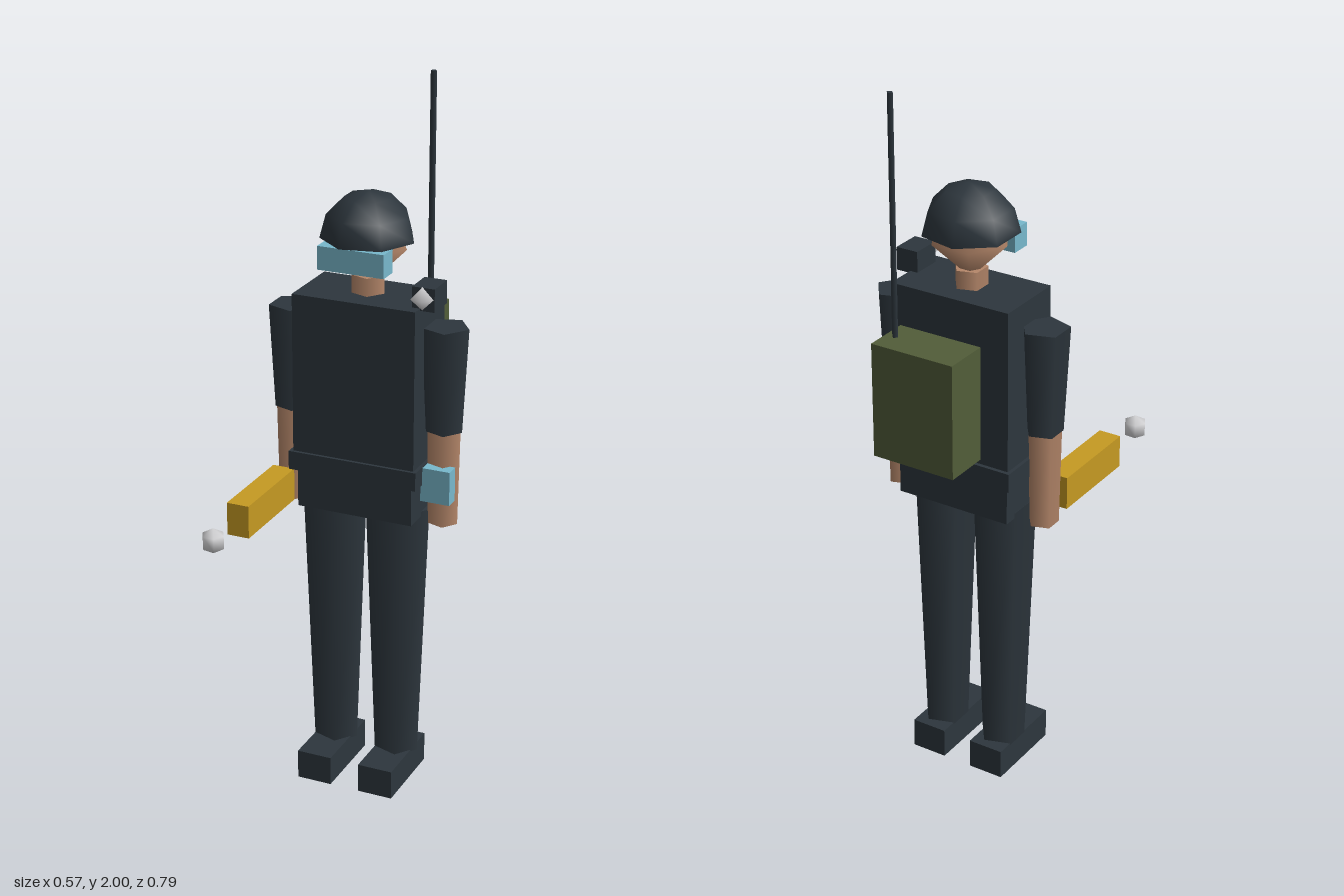
import * as THREE from 'three';

export function createModel() {
  const model = new THREE.Group();
  const mat = (name, color, side = THREE.FrontSide) => {
    const m = new THREE.MeshStandardMaterial({ color, side });
    m.name = name;
    return m;
  };
  const uniform = mat('dark uniform', 0x2d363d, THREE.DoubleSide);
  const skin = mat('skin', 0xb5876a);
  const glass = mat('pale blue', 0x78b8cc);
  const mustard = mat('mustard', 0xc69a22);
  const olive = mat('olive', 0x525d39);
  const silver = mat('light grey', 0xd2d2d4);

  const add = (name, geometry, material, x, y, z) => {
    const mesh = new THREE.Mesh(geometry, material);
    mesh.name = name;
    mesh.position.set(x, y, z);
    model.add(mesh);
    return mesh;
  };
  // Box given by its limits on each axis
  const box = (name, material, [x0, x1], [y0, y1], [z0, z1]) =>
    add(name, new THREE.BoxGeometry(x1 - x0, y1 - y0, z1 - z0), material,
      (x0 + x1) / 2, (y0 + y1) / 2, (z0 + z1) / 2);
  // Tapered upright prism with one corner pointing to +x
  const limb = (name, material, x, z, y0, y1, rTop, rBottom, sides = 5) =>
    add(name, new THREE.CylinderGeometry(rTop, rBottom, y1 - y0, sides, 1, false, Math.PI / 2),
      material, x, (y0 + y1) / 2, z);
  // Coarse ball with one corner pointing to +x
  const ball = (name, material, x, y, z, r, sides, rows, sweep = Math.PI) => {
    const g = new THREE.SphereGeometry(r, sides, rows, 0, Math.PI * 2, 0, sweep);
    return add(name, g.rotateY(Math.PI), material, x, y, z);
  };

  const cx = -0.007, cz = -0.124;

  // Head and headgear
  ball('head', skin, cx, 1.57, cz, 0.11, 6, 2);
  limb('neck', skin, cx, cz, 1.43, 1.49, 0.046, 0.046);
  ball('helmet', uniform, cx, 1.59, cz, 0.13, 7, 3, Math.PI / 2);
  box('goggles', glass, [-0.1, 0.09], [1.525, 1.59], [-0.06, -0.002]);

  // Trunk
  box('torso', uniform, [-0.184, 0.171], [0.96, 1.44], [-0.225, -0.021]);
  box('belt', uniform, [-0.194, 0.181], [0.937, 0.99], [-0.236, -0.012]);
  box('hips', uniform, [-0.174, 0.163], [0.825, 0.95], [-0.213, -0.028]);

  // Limbs
  for (const [side, s] of [['left', 1], ['right', -1]]) {
    const legX = cx + s * 0.094, armX = cx + s * 0.224;
    limb(side + 'Leg', uniform, legX, -0.12, 0.08, 0.84, 0.0915, 0.0635);
    box(side + 'Boot', uniform, [legX - 0.051, legX + 0.051], [0, 0.085], [-0.206, 0.035]);
    limb(side + 'Sleeve', uniform, armX, cz, 1.08, 1.375, 0.066, 0.051);
    limb(side + 'Forearm', skin, armX, cz, 0.81, 1.09, 0.047, 0.042);
  }
  box('wristDevice', glass, [0.176, 0.26], [0.89, 0.987], [-0.1, -0.06]);

  // Hand-held tool and the ball in front of it
  box('tool', mustard, [-0.264, -0.2], [0.825, 0.918], [-0.058, 0.222]);
  ball('toolTip', silver, -0.231, 0.874, 0.365, 0.036, 6, 3);

  // Shoulder lamp
  box('shoulderLamp', uniform, [0.148, 0.212], [1.434, 1.498], [-0.138, -0.054]);
  ball('lampLens', silver, 0.177, 1.468, -0.054, 0.032, 5, 2);

  // Radio pack with antenna
  box('radioPack', olive, [-0.128, 0.115], [1.03, 1.35], [-0.396, -0.266]);
  limb('antenna', uniform, 0.087, -0.33, 1.34, 2, 0.009, 0.009, 4);

  return model;
}
